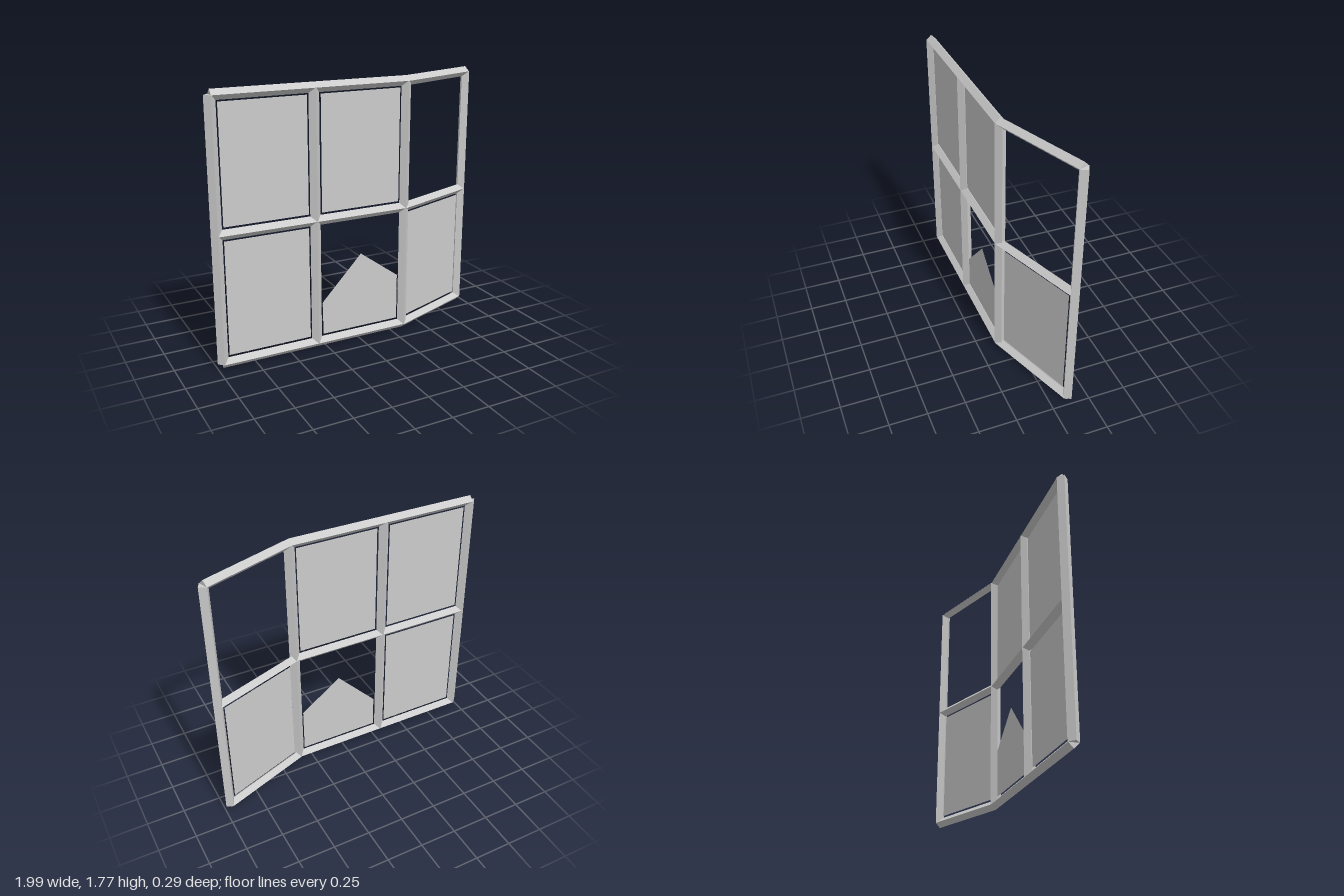
import * as THREE from 'three';

const R = 0.036;                 // half diagonal of the diamond bars
const BEND = Math.PI / 9;        // last bay swings back by 20 degrees
const BAY = 0.6545;
const Z0 = 0.108;
const LEVELS = [0.034, 0.884, 1.733];
const X = [-0.964, -0.3095, 0.345];
const END = new THREE.Vector3(X[2] + BAY * Math.cos(BEND), 0, Z0 - BAY * Math.sin(BEND));

// Diamond rail running along the straight bays and mitred at the bend
function railGeometry() {
  const path = [new THREE.Vector3(X[0], 0, Z0), new THREE.Vector3(X[2], 0, Z0), END];
  const side = [0, BEND / 2, BEND].map((a, i) =>
    new THREE.Vector3(Math.sin(a), 0, Math.cos(a)).divideScalar(i === 1 ? Math.cos(a) : 1));
  const geo = new THREE.CylinderGeometry(R * 0.93, R * 0.93, 2, 4, 2).toNonIndexed();
  const pos = geo.attributes.position;
  const v = new THREE.Vector3();
  for (let i = 0; i < pos.count; i++) {
    const k = Math.round(pos.getY(i)) + 1;
    v.copy(path[k]).addScaledVector(side[k], pos.getZ(i));
    pos.setXYZ(i, v.x, -pos.getX(i), v.z);
  }
  geo.computeVertexNormals();
  return geo;
}

// Flat pane outline, centred on its bay in x
function paneGeometry(points) {
  return new THREE.ShapeGeometry(new THREE.Shape(points.map(([x, y]) => new THREE.Vector2(x, y))));
}

export function createModel() {
  const model = new THREE.Group();
  model.name = 'windowFrame';
  const grey = new THREE.MeshStandardMaterial({ color: 0xcccccc, side: THREE.DoubleSide });
  grey.name = 'grey';

  const add = (name, geo, x, y, z, turn = 0) => {
    const mesh = new THREE.Mesh(geo, grey);
    mesh.name = name;
    mesh.position.set(x, y, z);
    mesh.rotation.y = turn;
    model.add(mesh);
  };

  // Rails
  const rail = railGeometry();
  ['bottomRail', 'middleRail', 'topRail'].forEach((name, i) => add(name, rail, 0, LEVELS[i], 0));

  // Posts
  const height = LEVELS[2] - LEVELS[0];
  const post = new THREE.CylinderGeometry(R, R, height, 4).toNonIndexed();
  post.computeVertexNormals();
  X.forEach((x, i) => add('post' + (i + 1), post, x, LEVELS[1], Z0));
  add('post4', post, END.x, LEVELS[1], END.z, BEND);

  // Panes, one of them broken; the upper bay at the bend is left open
  const w = 0.282, h = 0.76;
  const whole = paneGeometry([[-w, 0], [w, 0], [w, h], [-w, h]]);
  const broken = paneGeometry([[-w, 0], [w, 0], [w, 0.32], [0, 0.525], [-w, 0.23]]);
  const low = 0.08, high = 0.93;
  add('lowerPane1', whole, -0.637, low, Z0);
  add('upperPane1', whole, -0.637, high, Z0);
  add('brokenPane', broken, 0.019, low, Z0);
  add('upperPane2', whole, 0.019, high, Z0);
  add('lowerPane3', whole, (X[2] + END.x) / 2, low, (Z0 + END.z) / 2, BEND);

  return model;
}
